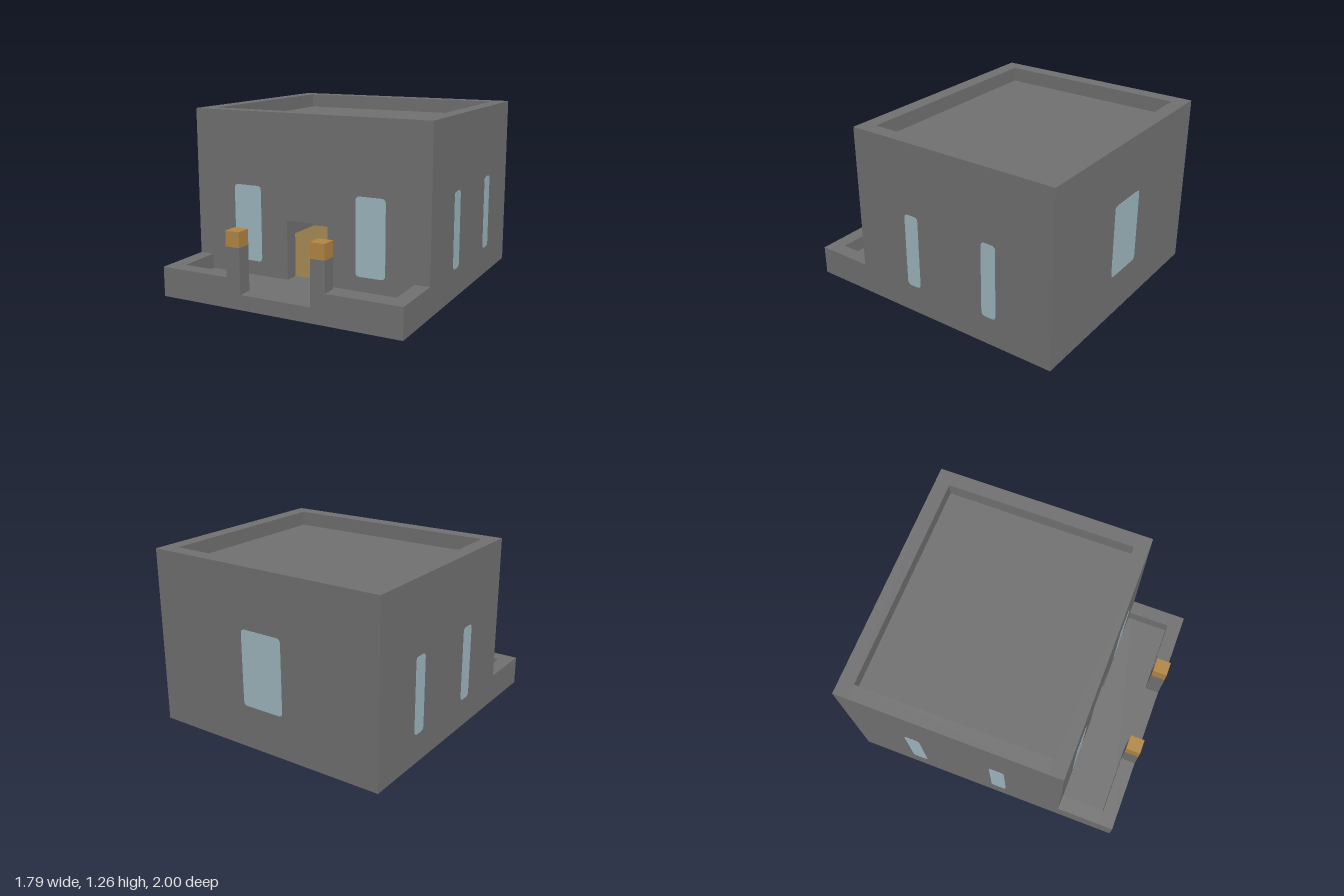
import * as THREE from 'three';

const U = 2 / 19; // one building block; the plan is 17 x 19 blocks

function material(name, color) {
  const m = new THREE.MeshStandardMaterial({ color });
  m.name = name;
  return m;
}

export function createModel() {
  const stone = material('stone', 0x707070);
  const glass = material('glass', 0x9cb5bd);
  const wood = material('wood', 0x8f7748);
  const lampGold = material('lampGold', 0xb08543);

  const model = new THREE.Group();
  model.name = 'house';

  // Box given in blocks: x from the centre, y from the ground, z from the back
  function box(name, mat, x0, x1, y0, y1, z0, z1) {
    const mesh = new THREE.Mesh(
      new THREE.BoxGeometry((x1 - x0) * U, (y1 - y0) * U, (z1 - z0) * U), mat);
    mesh.position.set((x0 + x1) / 2 * U, (y0 + y1) / 2 * U, (z0 + z1) / 2 * U - 1);
    mesh.name = name;
    model.add(mesh);
  }

  // Thin rounded pane centred on a point (in blocks), turned about y
  function pane(name, w, h, x, y, z, turn) {
    const a = w * U / 2, b = h * U / 2, r = 0.03;
    const s = new THREE.Shape();
    s.moveTo(-a + r, -b);
    s.lineTo(a - r, -b);
    s.quadraticCurveTo(a, -b, a, -b + r);
    s.lineTo(a, b - r);
    s.quadraticCurveTo(a, b, a - r, b);
    s.lineTo(-a + r, b);
    s.quadraticCurveTo(-a, b, -a, b - r);
    s.lineTo(-a, -b + r);
    s.quadraticCurveTo(-a, -b, -a + r, -b);
    const geo = new THREE.ExtrudeGeometry(s, { depth: 0.004, bevelEnabled: false, curveSegments: 4 });
    geo.translate(0, 0, -0.002);
    const mesh = new THREE.Mesh(geo, glass);
    mesh.position.set(x * U, y * U, z * U - 1);
    mesh.rotation.y = turn;
    mesh.name = name;
    model.add(mesh);
  }

  // Front wall with the doorway
  const wall = new THREE.Shape();
  wall.moveTo(-8.5 * U, 0);
  wall.lineTo(8.5 * U, 0);
  wall.lineTo(8.5 * U, 12 * U);
  wall.lineTo(-8.5 * U, 12 * U);
  const door = new THREE.Path();
  door.moveTo(-1.5 * U, U);
  door.lineTo(-1.5 * U, 5 * U);
  door.lineTo(1.5 * U, 5 * U);
  door.lineTo(1.5 * U, U);
  wall.holes.push(door);
  const frontWall = new THREE.Mesh(
    new THREE.ExtrudeGeometry(wall, { depth: U, bevelEnabled: false }), stone);
  frontWall.position.z = 14 * U - 1;
  frontWall.name = 'frontWall';
  model.add(frontWall);

  // Remaining shell, wooden floor and sunken roof
  box('backWall', stone, -8.5, 8.5, 0, 12, 0, 1);
  box('rightWall', stone, -8.5, -7.5, 0, 12, 1, 14);
  box('leftWall', stone, 7.5, 8.5, 0, 12, 1, 14);
  box('floor', wood, -7.5, 7.5, 0, 1, 1, 14);
  box('roof', stone, -7.5, 7.5, 10, 11, 1, 14);

  // Terrace, with parapets and lamp posts mirrored about the entrance
  box('terrace', stone, -8.5, 8.5, 0, 1, 15, 19);
  for (const s of [-1, 1]) {
    const side = s < 0 ? 'right' : 'left';
    const mirrored = (name, mat, a, b, ...rest) =>
      box(side + name, mat, Math.min(a * s, b * s), Math.max(a * s, b * s), ...rest);
    mirrored('SideParapet', stone, 7.5, 8.5, 1, 2, 15, 18);
    mirrored('FrontParapet', stone, 3.5, 8.5, 1, 2, 18, 19);
    mirrored('LampPost', stone, 2.5, 3.5, 1, 4, 18, 19);
    mirrored('Lamp', lampGold, 2.5, 3.5, 4, 5, 18, 19);

    // Windows on the front and sides
    pane(side + 'FrontWindow', 2.05, 5.13, 4.5 * s, 4.53, 15, 0);
    for (const z of [4.53, 10.53])
      pane(side + 'SideWindow', 1.06, 5.13, 8.5 * s, 4.53, z, s * Math.PI / 2);
  }

  // Back window, seen from outside and inside
  pane('backWindow', 3.06, 5.1, 0, 5.45, 0, Math.PI);
  pane('backWindowInner', 3.06, 5.1, 0, 5.45, 1, 0);

  // Furniture seen through the doorway
  box('bench', glass, -1.5, 1.5, 1, 2, 2, 4);
  box('tableTop', wood, -1.5, 0.5, 2, 3, 2, 4);
  box('seat', stone, -1.5, -0.5, 3, 4, 2, 3);
  box('shelf', stone, -0.5, 0.5, 4, 5, 1.1, 2);
  return model;
}
